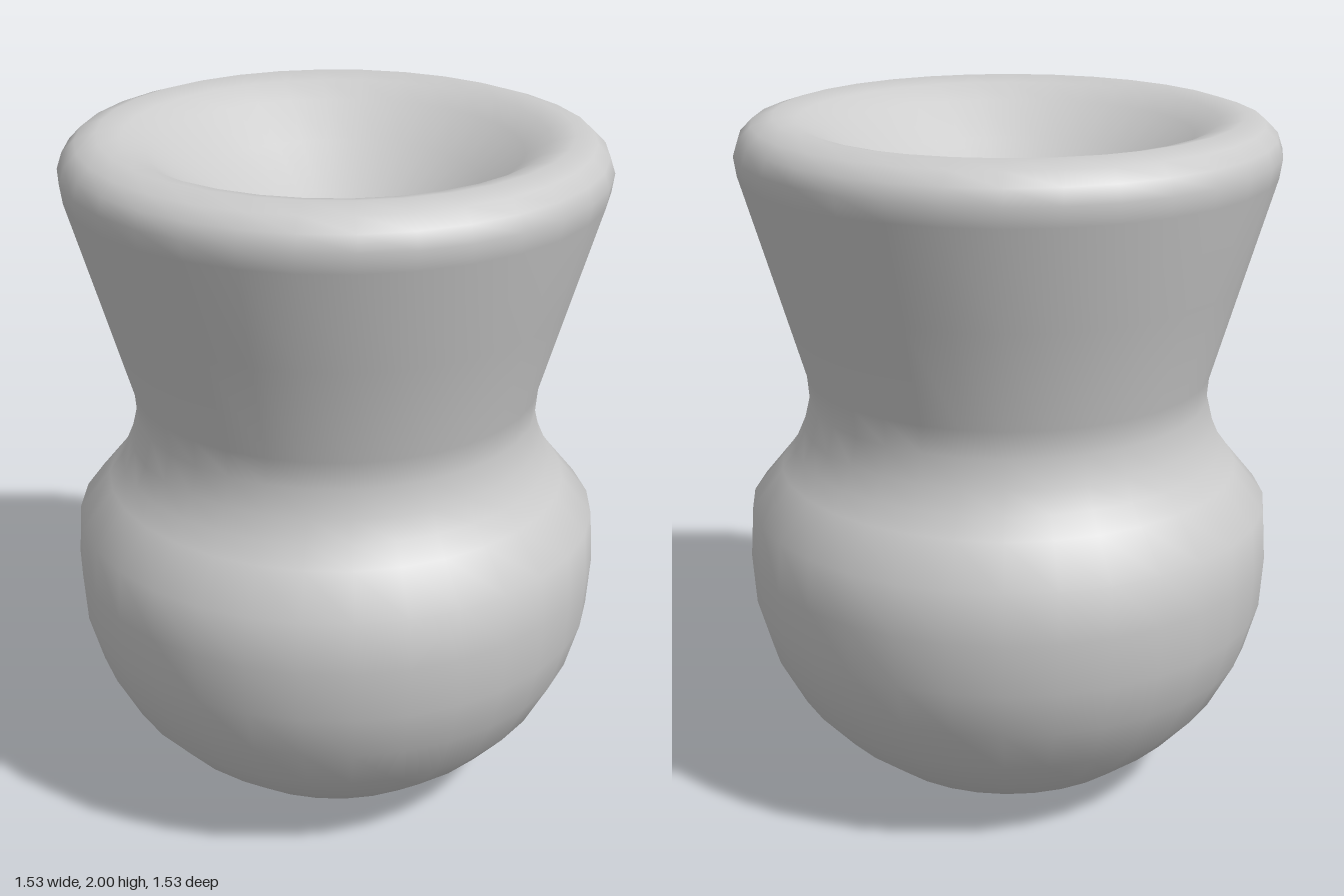
import * as THREE from 'three';

const SEGMENTS = 32;

// [radius, height] pairs to lathe points
const profile = (pairs) => pairs.map(([r, y]) => new THREE.Vector2(r, y));

export function createModel() {
  const group = new THREE.Group();
  const material = new THREE.MeshStandardMaterial({ color: 0xcccccc });

  const add = (name, geometry) => {
    const mesh = new THREE.Mesh(geometry, material);
    mesh.name = name;
    group.add(mesh);
    return mesh;
  };

  // Round belly, pinched waist, flared neck, rolled rim and dished top in one sweep
  const outline = profile([
    // belly
    [0.165, 0], [0.3, 0.025], [0.42, 0.085], [0.54, 0.18], [0.64, 0.29],
    [0.715, 0.43], [0.755, 0.57], [0.765, 0.72], [0.755, 0.87],
    // waist
    [0.665, 0.98], [0.625, 1.035], [0.597, 1.1], [0.578, 1.18], [0.585, 1.26],
    // flared neck
    [0.67, 1.55], [0.757, 1.845],
    // rolled rim
    [0.765, 1.9], [0.75, 1.945], [0.715, 1.98], [0.655, 2],
    // dished top
    [0.59, 1.985], [0.52, 1.945], [0.4, 1.855], [0.25, 1.75], [0.12, 1.69], [0, 1.67],
  ]);
  add('vesselBody', new THREE.LatheGeometry(outline, SEGMENTS));

  // Flat foot under the belly
  add('flatFoot', new THREE.CircleGeometry(0.165, SEGMENTS).rotateX(Math.PI / 2));

  return group;
}
